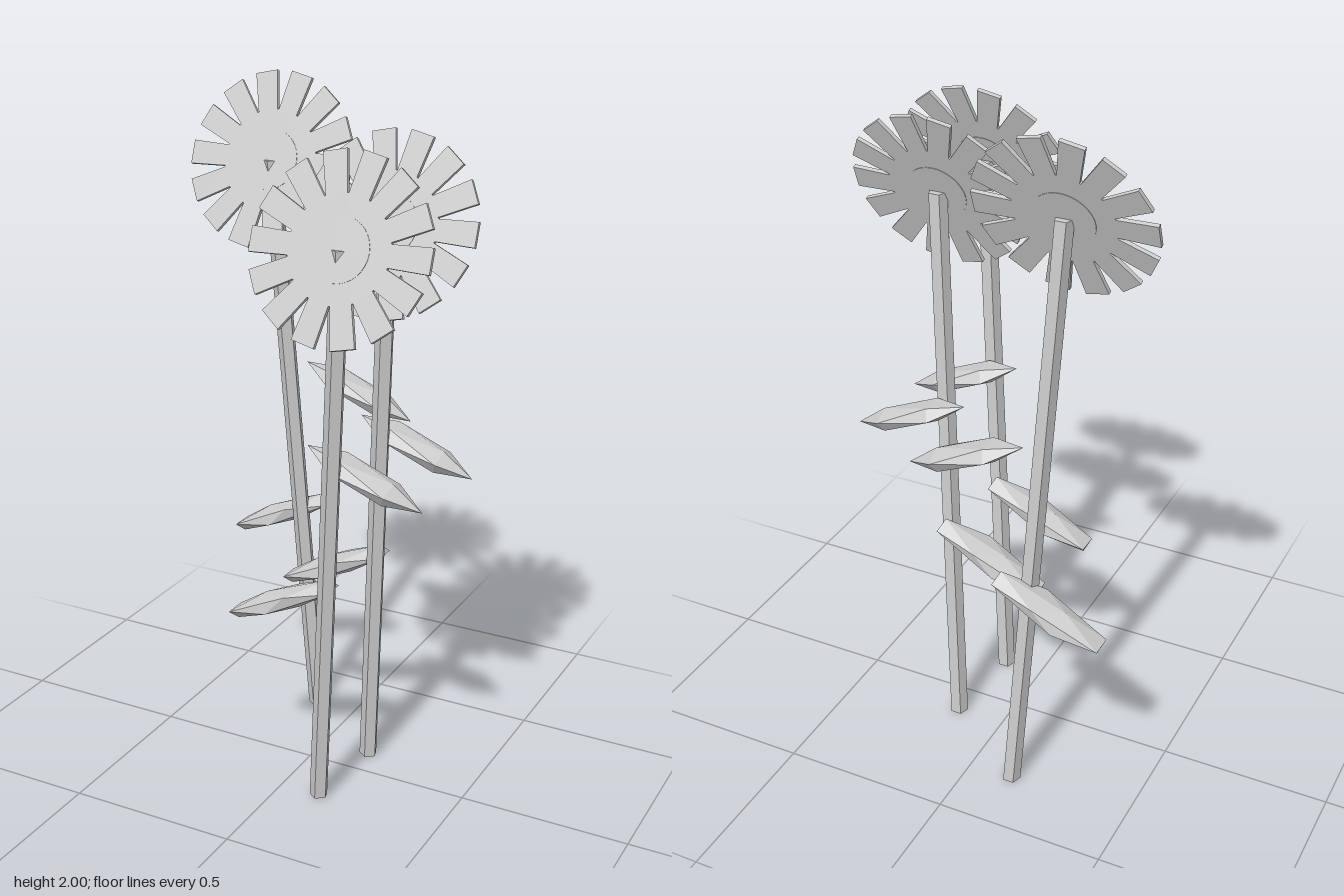
import * as THREE from 'three';

const grey = new THREE.MeshStandardMaterial({ color: 0xcccccc, flatShading: true });
grey.name = 'pale grey';

const T = (1 + Math.sqrt(5)) / 2;
const PETALS = 14;

function part(name, geometry) {
  const mesh = new THREE.Mesh(geometry, grey);
  mesh.name = name;
  return mesh;
}

// Faceted leaf: an icosahedron turned so `end` points along x, stretched and tilted
function leafGeometry(end, side, scale, tilt) {
  const x = end.clone().normalize();
  const y = side.clone().addScaledVector(x, -side.dot(x)).normalize();
  const z = x.clone().cross(y);
  const g = new THREE.IcosahedronGeometry(1, 0);
  g.applyMatrix4(new THREE.Matrix4().makeBasis(x, y, z).transpose());
  g.scale(...scale).rotateZ(tilt);
  return g;
}

// Five-sided stem with level ends, leaning by (dx, dz) over its height
function stemGeometry(height, dx, dz) {
  const g = new THREE.CylinderGeometry(0.027, 0.027, height, 5, 1);
  g.translate(0, height / 2, 0);
  const p = g.attributes.position;
  for (let i = 0; i < p.count; i++) {
    const t = p.getY(i) / height;
    p.setX(i, p.getX(i) + dx * t);
    p.setZ(i, p.getZ(i) + dz * t);
  }
  g.computeVertexNormals();
  return g;
}

// Ring of blunt petals, slightly wider at the tips, as one thin plate
function petalGeometry() {
  const shape = new THREE.Shape();
  const inner = 0.14, outer = 0.253;
  const innerHalf = inner * Math.tan(Math.PI / PETALS) * 0.94, outerHalf = 0.034;
  for (let i = 0; i < PETALS; i++) {
    const a = (i / PETALS) * Math.PI * 2, c = Math.cos(a), s = Math.sin(a);
    const corners = [[inner, -innerHalf], [outer, -outerHalf], [outer, outerHalf], [inner, innerHalf]];
    corners.forEach(([r, w], k) => {
      const x = r * c - w * s, y = r * s + w * c;
      if (i === 0 && k === 0) shape.moveTo(x, y);
      else shape.lineTo(x, y);
    });
  }
  shape.closePath();
  return new THREE.ExtrudeGeometry(shape, { depth: 0.012, bevelEnabled: false }).translate(0, 0, -0.006);
}

function createFlower({ name, base, height, lean }) {
  const flower = new THREE.Group();
  flower.name = name;
  flower.position.set(base[0], 0, base[1]);
  const k = height / 1.665;

  flower.add(part('stem', stemGeometry(height, lean, 0.094)));

  // Lower leaf on the right, upper leaf on the left
  const lower = part('lowerLeaf', leafGeometry(
    new THREE.Vector3(1, 1, 1), new THREE.Vector3(0, 1, T), [0.215, 0.034, 0.064], 0.44));
  lower.position.set(-0.117, 0.605 * k, -0.003);
  const upper = part('upperLeaf', leafGeometry(
    new THREE.Vector3(0, 1, T), new THREE.Vector3(1, T, 0), [0.184, 0.034, 0.067], -0.37));
  upper.position.set(0.133, 1.018 * k, -0.003);
  flower.add(lower, upper);

  // Head leans back to face slightly upward
  const head = new THREE.Group();
  head.name = 'flowerHead';
  head.add(part('petals', petalGeometry()));
  head.add(part('centreDisc', new THREE.CylinderGeometry(0.086, 0.086, 0.015, 32).rotateX(Math.PI / 2)));
  head.position.set(lean, height, 0.1);
  head.rotation.x = -0.371;
  flower.add(head);
  return flower;
}

export function createModel() {
  const model = new THREE.Group();
  model.name = 'flowers';
  const flowers = [
    { name: 'backFlower', base: [-0.133, -0.304], height: 1.764, lean: -0.101 },
    { name: 'middleFlower', base: [0.15, -0.096], height: 1.674, lean: 0.083 },
    { name: 'frontFlower', base: [0.122, 0.177], height: 1.667, lean: 0.106 },
  ];
  flowers.forEach((f) => model.add(createFlower(f)));
  return model;
}
